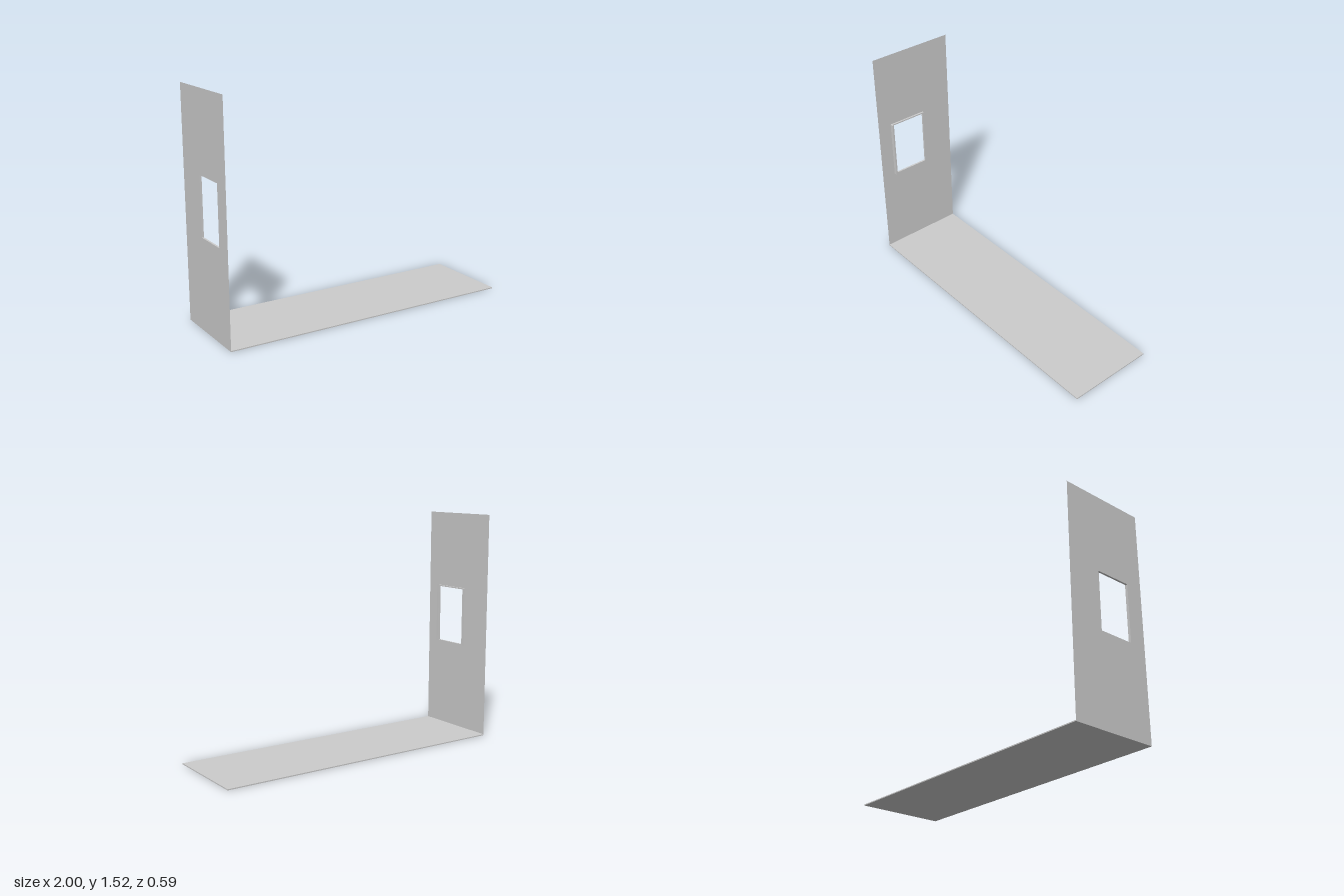
import * as THREE from 'three';

const material = new THREE.MeshStandardMaterial({ color: 0xcccccc, side: THREE.DoubleSide });

// Box given by its minimum and maximum corners
function block(name, [x0, y0, z0], [x1, y1, z1]) {
  const geometry = new THREE.BoxGeometry(x1 - x0, y1 - y0, z1 - z0);
  geometry.translate((x0 + x1) / 2, (y0 + y1) / 2, (z0 + z1) / 2);
  const mesh = new THREE.Mesh(geometry, material);
  mesh.name = name;
  return mesh;
}

// Rectangle outline in the wall plane (z, y)
function rectangle(PathType, z0, y0, z1, y1) {
  const path = new PathType();
  path.moveTo(z0, y0);
  path.lineTo(z1, y0);
  path.lineTo(z1, y1);
  path.lineTo(z0, y1);
  path.closePath();
  return path;
}

export function createModel() {
  const group = new THREE.Group();
  group.name = 'wallAndFloor';
  const back = -1, halfDepth = 0.297, height = 1.52;
  const hole = { z0: -0.07, z1: 0.19, y0: 0.6, y1: 1.004 };

  // Thin floor slab
  group.add(block('floor', [-1, 0, -halfDepth], [1, 0.007, halfDepth]));

  // Sheet wall with a window opening
  const outline = rectangle(THREE.Shape, -halfDepth, 0, halfDepth, height);
  outline.holes.push(rectangle(THREE.Path, hole.z0, hole.y0, hole.z1, hole.y1));
  const wallGeometry = new THREE.ShapeGeometry(outline);
  wallGeometry.rotateY(-Math.PI / 2);
  wallGeometry.translate(back, 0, 0);
  const wall = new THREE.Mesh(wallGeometry, material);
  wall.name = 'wall';
  group.add(wall);

  // Window frame lining the opening, with a deeper jamb strip on one side
  const frame = new THREE.Group();
  frame.name = 'windowFrame';
  const bar = 0.008, front = back + 0.013;
  const { z0, z1, y0, y1 } = hole;
  frame.add(
    block('sill', [back, y0, z0], [front, y0 + bar, z1]),
    block('head', [back, y1 - bar, z0], [front, y1, z1]),
    block('rearStile', [back, y0 + bar, z0], [front, y1 - bar, z0 + bar]),
    block('frontStile', [back, y0 + bar, z1 - bar], [front, y1 - bar, z1]),
    block('jambStrip', [back, y0, z1], [back + 0.025, y1, z1 + 0.01]),
  );
  group.add(frame);
  return group;
}
